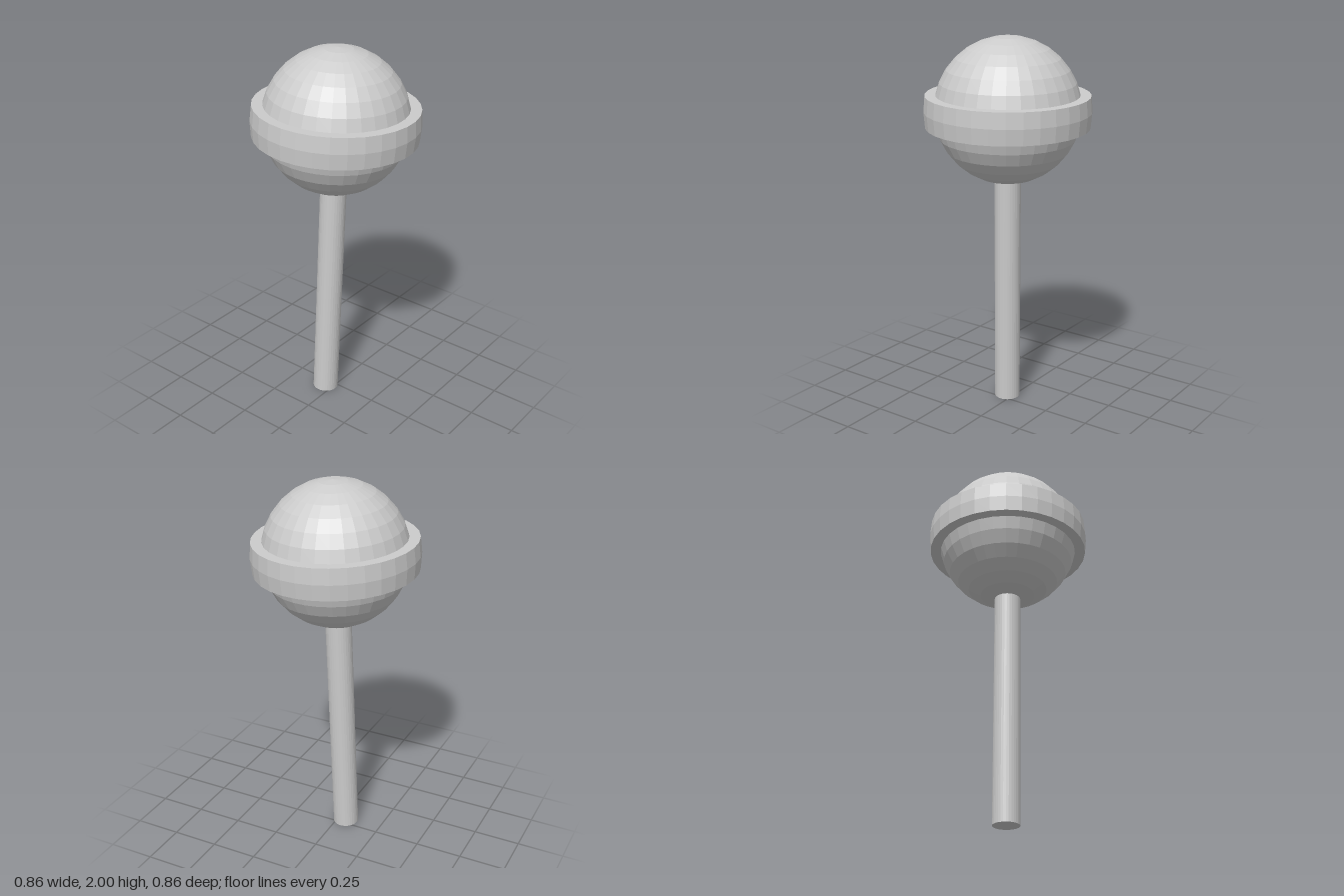
import * as THREE from 'three';

export function createModel() {
  const model = new THREE.Group();
  model.name = 'lollipop';
  const material = new THREE.MeshStandardMaterial({ color: 0xcccccc, flatShading: true });

  // everything leans slightly about the centre of the candy ball
  const lean = new THREE.Group();
  lean.name = 'leaningBody';
  lean.position.y = 1.622;
  lean.rotation.set(-0.023, 0, -0.029);
  model.add(lean);

  function add(name, geometry, y = 0) {
    const mesh = new THREE.Mesh(geometry, material);
    mesh.name = name;
    mesh.position.y = y;
    lean.add(mesh);
  }

  // candy ball
  add('candyBall', new THREE.SphereGeometry(0.378, 32, 16));

  // raised band around the middle, bulging slightly
  const h = 0.082;
  const band = [[0.36, -h], [0.424, -h], [0.431, 0], [0.424, h], [0.36, h]];
  add('candyBand', new THREE.LatheGeometry(band.map(([r, y]) => new THREE.Vector2(r, y)), 32));

  // stick, running up into the ball
  const bottom = -1.619, top = -0.3;
  add('stick', new THREE.CylinderGeometry(0.069, 0.069, top - bottom, 32), (top + bottom) / 2);

  return model;
}
